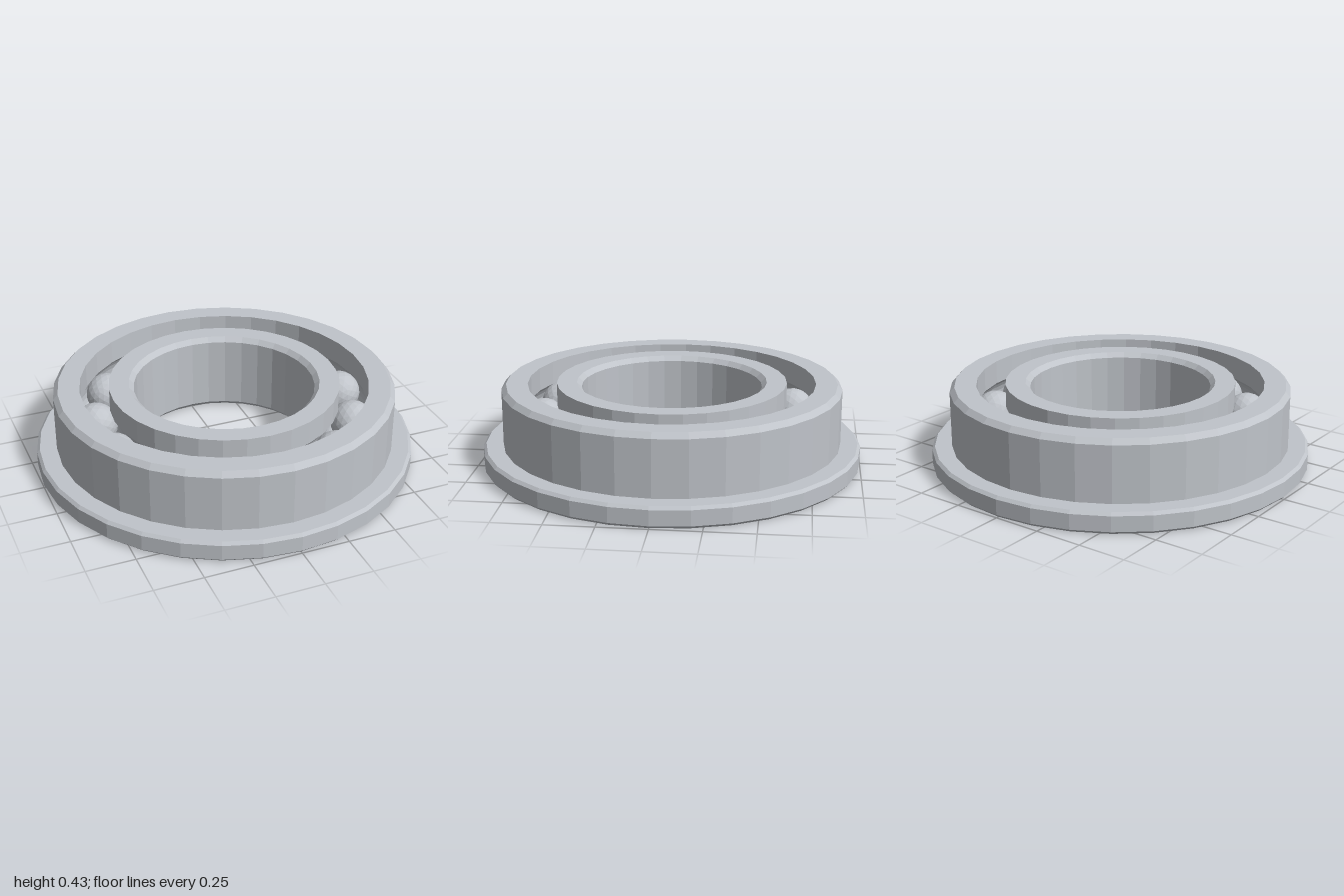
import * as THREE from 'three';

const SIDES = 32;
const HEIGHT = 0.43;
const MID = HEIGHT / 2;
const PITCH = 0.68; // radius of the circle of ball centres
const BALL = 0.115;
const BALL_COUNT = 13;
const GROOVE = 0.118;
const INNER_LAND = 0.605;
const OUTER_LAND = 0.757;

// Groove arc around the ball centre; side +1 = outer ring (top to bottom), -1 = inner ring (bottom to top)
function raceway(side, land) {
  const half = Math.acos(Math.abs(land - PITCH) / GROOVE);
  const steps = 8;
  const points = [];
  for (let i = 0; i <= steps; i++) {
    const a = half * (1 - (2 * i) / steps);
    points.push([PITCH + side * GROOVE * Math.cos(a), MID + side * GROOVE * Math.sin(a)]);
  }
  return points;
}

// Closed counter-clockwise profile turned around the y axis
function ring(name, profile, material) {
  const points = [...profile, profile[0]].map(([r, y]) => new THREE.Vector2(r, y));
  const mesh = new THREE.Mesh(new THREE.LatheGeometry(points, SIDES).toNonIndexed(), material);
  mesh.geometry.computeVertexNormals();
  mesh.name = name;
  return mesh;
}

export function createModel() {
  const model = new THREE.Group();
  model.name = 'flangedBallBearing';
  const steel = new THREE.MeshStandardMaterial({ color: 0xc0c4ca, flatShading: true });
  steel.name = 'steel';

  // Outer ring with flange, chamfers and ball groove
  model.add(ring('outerRing', [
    [OUTER_LAND, 0], [0.985, 0], [1, 0.015], [1, 0.095], [0.985, 0.11],
    [0.895, 0.11], [0.895, 0.403], [0.87, HEIGHT], [OUTER_LAND, HEIGHT],
    ...raceway(1, OUTER_LAND),
  ], steel));

  // Inner ring with chamfered bore and ball groove
  model.add(ring('innerRing', [
    [0.5, 0], [INNER_LAND, 0],
    ...raceway(-1, INNER_LAND),
    [INNER_LAND, HEIGHT], [0.5, HEIGHT], [0.475, HEIGHT - 0.025], [0.475, 0.025],
  ], steel));

  // Balls evenly spaced between the rings
  const balls = new THREE.Group();
  balls.name = 'balls';
  const ballGeometry = new THREE.IcosahedronGeometry(BALL, 3);
  for (let i = 0; i < BALL_COUNT; i++) {
    const a = (i / BALL_COUNT) * Math.PI * 2;
    const ball = new THREE.Mesh(ballGeometry, steel);
    ball.name = 'ball';
    ball.position.set(PITCH * Math.cos(a), MID, PITCH * Math.sin(a));
    ball.rotation.y = -a;
    balls.add(ball);
  }
  model.add(balls);
  return model;
}
